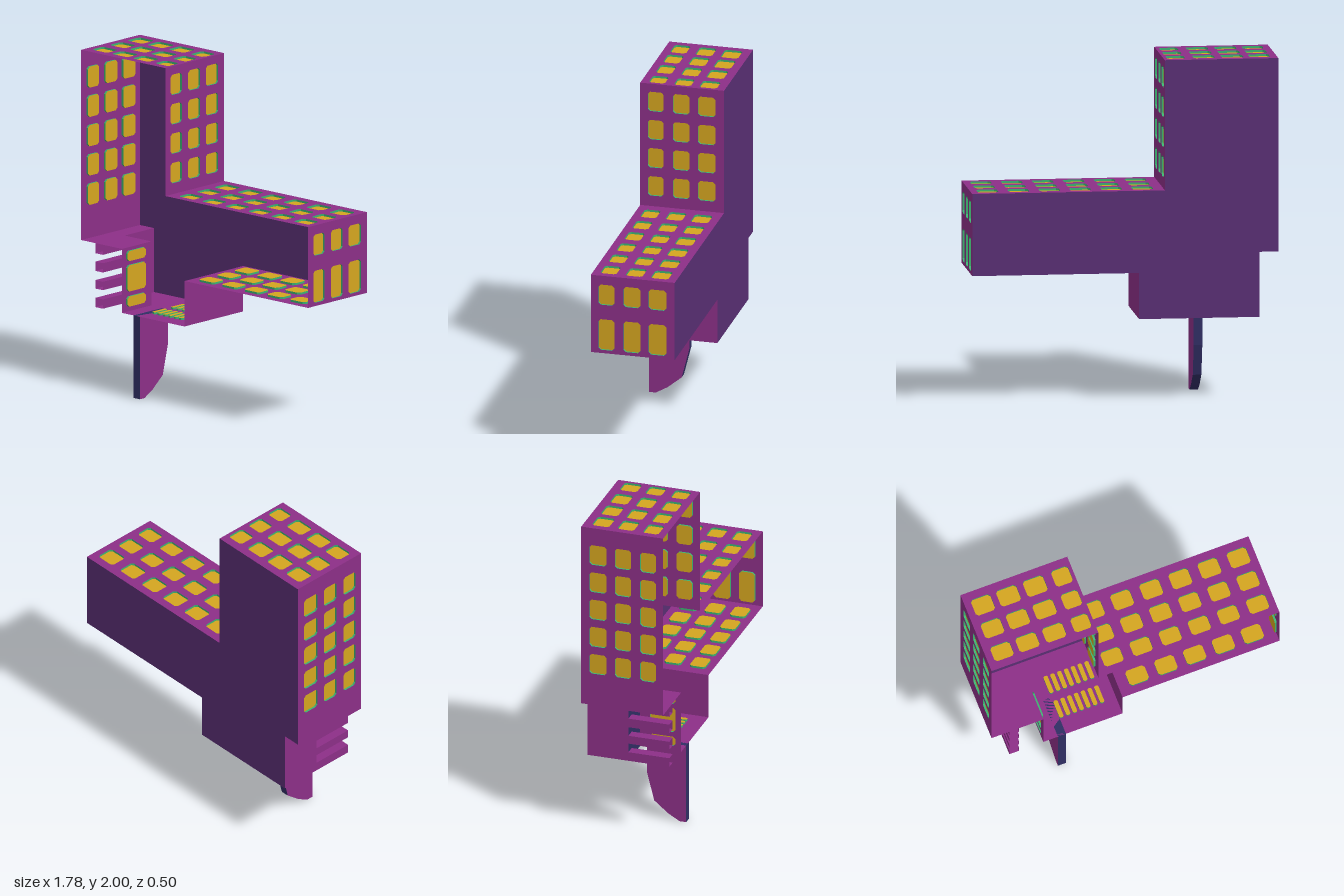
import * as THREE from 'three';
import { mergeGeometries } from 'three/addons/utils/BufferGeometryUtils.js';

const mat = (name, color) => {
  const m = new THREE.MeshStandardMaterial({ color, side: THREE.DoubleSide });
  m.name = name;
  return m;
};

const DEPTH = 0.012; // window recess
const FRONT = 0.25, BACK = -0.25;
const X = new THREE.Vector3(1, 0, 0), Y = new THREE.Vector3(0, 1, 0), Z = new THREE.Vector3(0, 0, 1);
const Z_COLS = [[-0.2, -0.095], [-0.045, 0.055], [0.11, 0.205]];

const points = (list) => list.map(([x, y]) => new THREE.Vector2(x, y));
const rect = (a0, a1, b0, b1) => points([[a0, b0], [a1, b0], [a1, b1], [a0, b1]]);

// Rectangle with clipped corners
function clipped(a0, a1, b0, b1) {
  const c = Math.min(0.014, (a1 - a0) / 4);
  return points([[a0 + c, b0], [a1 - c, b0], [a1, b0 + c], [a1, b1 - c],
    [a1 - c, b1], [a0 + c, b1], [a0, b1 - c], [a0, b0 + c]]);
}

// Evenly spaced intervals
const row = (start, size, pitch, n) =>
  Array.from({ length: n }, (_, i) => [start + i * pitch, start + i * pitch + size]);

// Side strip of one window recess
function rim(outline) {
  const pos = [];
  outline.forEach((p, i) => {
    const q = outline[(i + 1) % outline.length];
    pos.push(p.x, p.y, 0, q.x, q.y, 0, q.x, q.y, -DEPTH);
    pos.push(p.x, p.y, 0, q.x, q.y, -DEPTH, p.x, p.y, -DEPTH);
  });
  const g = new THREE.BufferGeometry();
  g.setAttribute('position', new THREE.Float32BufferAttribute(pos, 3));
  g.computeVertexNormals();
  return g;
}

export function createModel() {
  const model = new THREE.Group();
  model.name = 'building';
  const magenta = mat('magenta wall', 0x8c2f87);
  const purple = mat('purple backing', 0x5a2f74);
  const navy = mat('navy edge', 0x302e64);
  const gold = mat('gold pane', 0xd4a520);
  const green = mat('green frame', 0x3cb371);

  const add = (parent, name, geo, material) => {
    const m = new THREE.Mesh(geo, material);
    m.name = name;
    parent.add(m);
    return m;
  };

  // Flat wall running along x or y and along z, with recessed windows
  function wall(name, facing, at, a0, a1, rows = [], z0 = BACK, z1 = FRONT, cols = Z_COLS) {
    const alongY = facing[1] === 'x';
    const u = alongY ? Y : X;
    const flip = facing === '-x' || facing === '+y' ? -1 : 1;
    const v = Z.clone().multiplyScalar(flip);
    const span = (lo, hi) => (flip > 0 ? [lo, hi] : [-hi, -lo]);
    const shape = new THREE.Shape(rect(a0, a1, ...span(z0, z1)));
    const panes = [], rims = [];
    for (const [r0, r1] of rows) for (const [c0, c1] of cols) {
      const outline = clipped(r0, r1, ...span(c0, c1));
      shape.holes.push(new THREE.Path(outline));
      panes.push(new THREE.ShapeGeometry(new THREE.Shape(outline)).translate(0, 0, -DEPTH));
      rims.push(rim(outline));
    }
    const group = new THREE.Group();
    group.name = name;
    add(group, name + 'Panel', new THREE.ShapeGeometry(shape), magenta);
    if (panes.length) {
      add(group, name + 'Panes', mergeGeometries(panes), gold);
      add(group, name + 'Frames', mergeGeometries(rims), green);
    }
    const basis = new THREE.Matrix4().makeBasis(u, v, new THREE.Vector3().crossVectors(u, v));
    group.quaternion.setFromRotationMatrix(basis);
    group.position[alongY ? 'x' : 'y'] = at;
    model.add(group);
  }

  // Back plate, one silhouette
  const back = new THREE.Shape(points([[-0.89, 0.87], [-0.78, 0.87], [-0.78, 0.49], [-0.08, 0.49],
    [-0.08, 0.76], [0.89, 0.76], [0.89, 1.24], [-0.23, 1.24], [-0.23, 2], [-0.89, 2]]));
  add(model, 'backPlate', new THREE.ShapeGeometry(back), purple).position.z = BACK;

  // Tower
  wall('towerRoof', '+y', 2, -0.89, -0.23,
    [[-0.85, -0.73], [-0.695, -0.57], [-0.53, -0.405], [-0.355, -0.25]]);
  wall('towerOuterWall', '-x', -0.89, 0.87, 2, row(1.07, 0.125, 0.174, 5));
  wall('towerInnerWall', '+x', -0.23, 1.24, 2, row(1.305, 0.12, 0.175, 4));
  wall('towerLedge', '-y', 0.87, -0.89, -0.78);
  wall('notchCeiling', '-y', 0.87, -0.78, -0.57, [], 0, FRONT);

  // Long wing
  wall('wingRoof', '+y', 1.24, -0.23, 0.89, row(-0.17, 0.12, 0.18, 6));
  wall('wingEnd', '+x', 0.89, 0.76, 1.24, [[0.78, 0.97], [1.06, 1.185]]);
  wall('wingUnderside', '-y', 0.76, -0.08, 0.89, row(-0.015, 0.12, 0.178, 5));

  // Lower block
  wall('lowerRightWall', '+x', -0.08, 0.49, 0.76);
  wall('lowerLeftWall', '-x', -0.78, 0.49, 0.87, [], BACK, 0);
  wall('lowerFloor', '-y', 0.49, -0.57, -0.08, row(-0.43, 0.026, 0.042, 7),
    BACK, FRONT, [[-0.12, -0.01], [0.04, 0.15]]);
  wall('lowerFloorRear', '-y', 0.49, -0.78, -0.57, [], BACK, 0);
  wall('notchWall', '-x', -0.57, 0.49, 0.87, [[0.52, 0.58], [0.61, 0.765], [0.79, 0.85]],
    0, FRONT, [[0.06, 0.215]]);

  // Notch back, with slots between the hollow prongs
  const prongs = [[0.49, 0.545], [0.6, 0.65], [0.705, 0.76], [0.81, 0.87]];
  const notch = [new THREE.Shape(rect(-0.72, -0.57, 0.49, 0.87))];
  prongs.forEach(([y0, y1], i) => {
    if (i < 3) notch.push(new THREE.Shape(rect(-0.78, -0.72, y1, prongs[i + 1][0])));
    wall('prongOuter', '-x', -0.78, y0, y1, [], 0, FRONT);
    wall('prongInner', '+x', -0.72, y0, y1, [], 0, FRONT);
    wall('prongBottom', '-y', y0, -0.78, -0.72, [], 0, FRONT);
    if (i < 3) wall('prongTop', '+y', y1, -0.78, -0.72, [], 0, FRONT);
  });
  add(model, 'notchBack', new THREE.ShapeGeometry(notch), navy);

  // Curved blade leg
  const blade = new THREE.Shape(points([[-0.25, 0], [-0.21, 0], [-0.14, 0.04], [-0.055, 0.11],
    [-0.01, 0.29], [-0.01, 0.49], [-0.25, 0.49]]));
  const leg = add(model, 'bladeLeg',
    new THREE.ExtrudeGeometry(blade, { depth: 0.05, bevelEnabled: false }), [magenta, navy]);
  leg.rotation.y = Math.PI / 2;
  leg.position.x = -0.48;

  return model;
}
